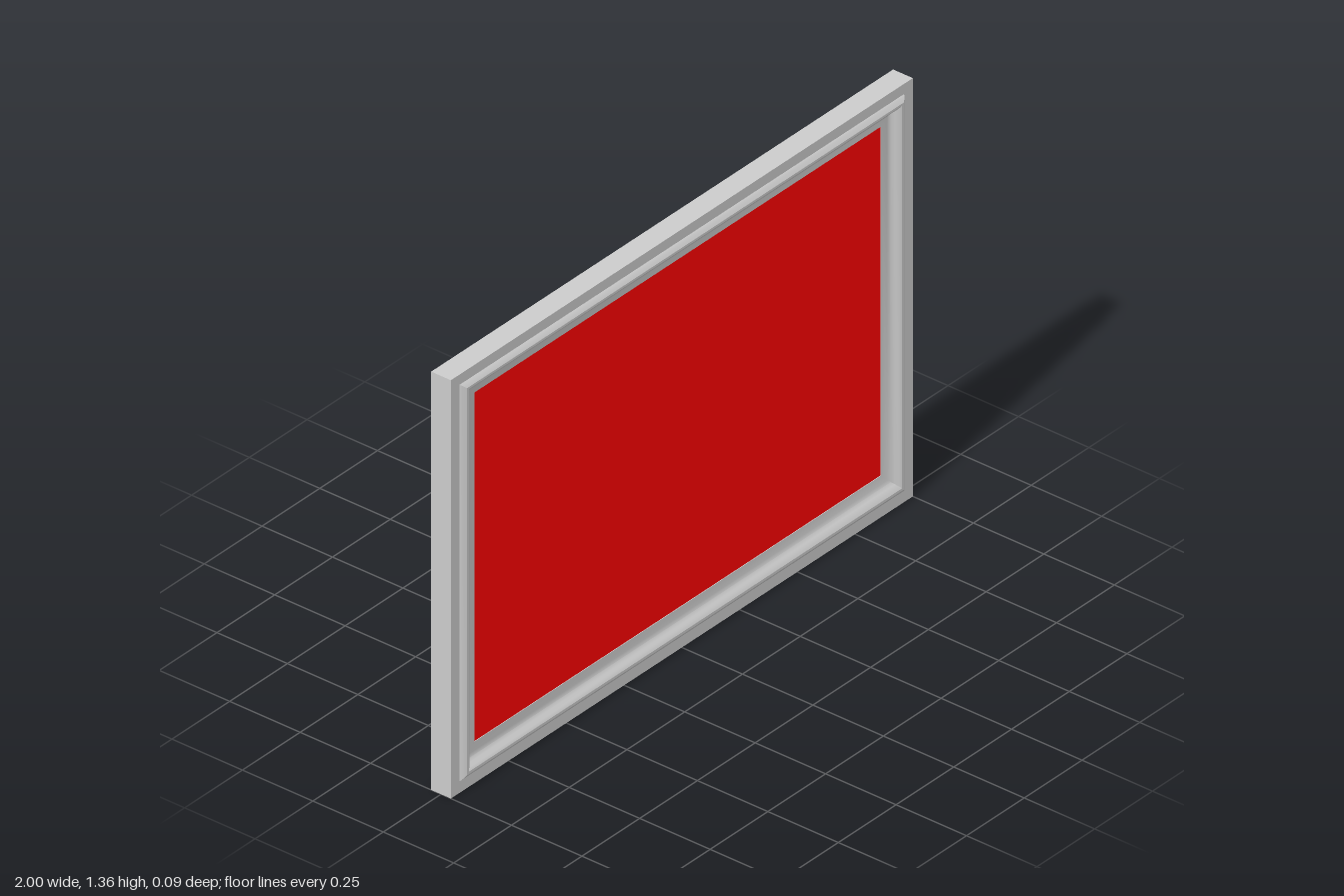
import * as THREE from 'three';
import { toCreasedNormals } from 'three/addons/utils/BufferGeometryUtils.js';

const WIDTH = 2, HEIGHT = 1.36;
const INSET = 0.12, TOP_INSET = 0.105;

// Moulding section as [inset from outer edge, z]: front face inward, then back face outward
const PROFILE = [
  [0, 0.035], [0.038, 0.035], [0.042, 0.04], [0.054, 0.048], [0.062, 0.048],
  [0.07, 0.043], [0.077, 0.034], [0.085, 0.027], [0.095, 0.023], [0.12, 0.02],
  [0.12, -0.015], [0.108, -0.018], [0.104, -0.012], [0.096, -0.01], [0.094, -0.002],
  [0.085, -0.004], [0.07, -0.01], [0.055, -0.021], [0.042, -0.036], [0.036, -0.045],
  [0.03, -0.045], [0.028, -0.035], [0, -0.035],
];

// Sweeps the section around a rectangle with mitred corners
function mitredFrame(profile) {
  const corners = [[-1, 0], [1, 0], [1, 1], [-1, 1]];
  const positions = [], index = [];
  const n = profile.length;
  for (const [sx, top] of corners) {
    for (const [inset, z] of profile) {
      const y = top ? HEIGHT - inset * TOP_INSET / INSET : inset;
      positions.push(sx * (WIDTH / 2 - inset), y, z);
    }
  }
  for (let i = 0; i < 4; i++) {
    for (let j = 0; j < n; j++) {
      const k = (j + 1) % n, next = ((i + 1) % 4) * n;
      const a = i * n + j, b = next + j, c = next + k, d = i * n + k;
      index.push(a, b, c, a, c, d);
    }
  }
  const geometry = new THREE.BufferGeometry();
  geometry.setAttribute('position', new THREE.Float32BufferAttribute(positions, 3));
  geometry.setIndex(index);
  return toCreasedNormals(geometry, THREE.MathUtils.degToRad(32));
}

export function createModel() {
  const model = new THREE.Group();
  model.name = 'pictureFrame';

  // Moulded frame
  const frame = new THREE.Mesh(
    mitredFrame(PROFILE),
    new THREE.MeshStandardMaterial({ color: 0xcccccc }),
  );
  frame.name = 'frame';
  model.add(frame);

  // Red panel filling the opening
  const panelHeight = HEIGHT - INSET - TOP_INSET;
  const panel = new THREE.Mesh(
    new THREE.BoxGeometry(WIDTH - 2 * INSET, panelHeight, 0.006),
    new THREE.MeshStandardMaterial({ color: 0xff0000 }),
  );
  panel.name = 'panel';
  panel.position.set(0, INSET + panelHeight / 2, 0.015);
  model.add(panel);

  return model;
}
